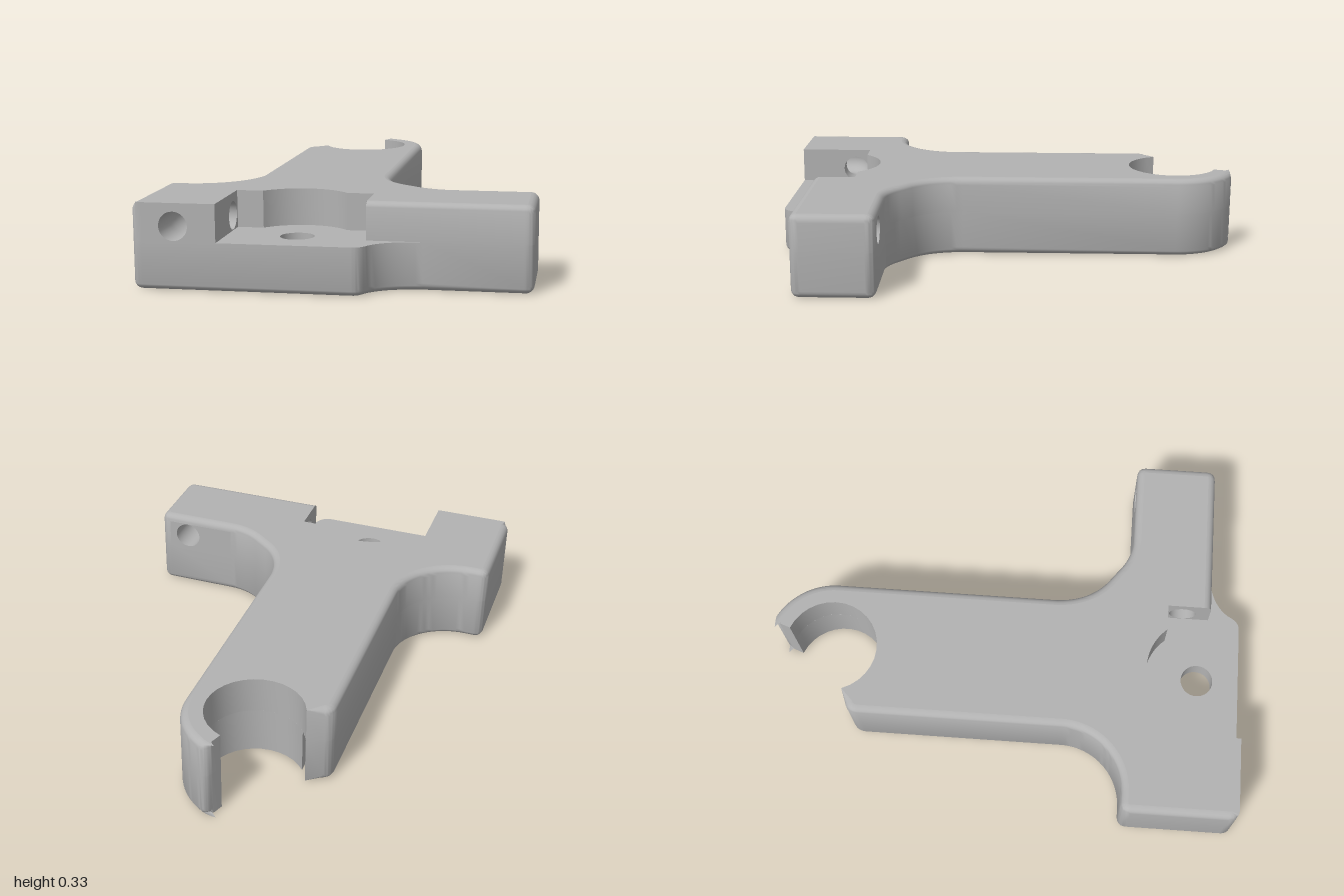
import * as THREE from 'three';
import { toCreasedNormals } from 'three/addons/utils/BufferGeometryUtils.js';

const H = 0.33, FLOOR = 0.185, R = 0.03;      // height, pocket floor, edge rounding
const RING = [-0.28, -0.838], BORE = [-0.28, 0.651];
const HOLE_Y = 0.243, HOLE_R = 0.055;
const deg = THREE.MathUtils.degToRad;

const grey = new THREE.MeshStandardMaterial({ color: 0xb2b2b2, side: THREE.DoubleSide });
grey.name = 'grey';

// edge rounding at an outline point: none in the clip, the slot and the top front edge
function rounding(p, top) {
  if (Math.hypot(p.x - RING[0], p.y - RING[1]) < 0.235) return 0;
  if (p.x > -0.46 && p.x < -0.41 && p.y > -0.8 && p.y < -0.3) return 0;
  return top && p.y > 0.815 ? 0 : R;
}

function clean(points) {
  return points.filter((p, i) => i === 0 || p.distanceTo(points[i - 1]) > 1e-4);
}

// move outline points inwards by amount(point)
function inset(points, amount, closed) {
  const n = points.length;
  const normal = (a, b) => new THREE.Vector2(b.y - a.y, a.x - b.x).normalize();
  return points.map((p, i) => {
    const before = closed || i > 0 ? normal(points[(i + n - 1) % n], p) : null;
    const after = closed || i < n - 1 ? normal(p, points[(i + 1) % n]) : null;
    const n1 = before || after, n2 = after || before;
    const m = n1.clone().add(n2);
    const k = amount(p) / Math.max(0.5, 1 + n1.dot(n2));
    return p.clone().addScaledVector(m, -k);
  });
}

// upright wall along an outline, optionally rounded at its top or bottom edge
function wall(points, y0, y1, { closed = false, edge = '', skip = () => false } = {}) {
  const top = edge === 'top', rows = [];
  const flat = (y) => points.map((p) => [p.x, y, p.y]);
  rows.push(flat(top ? y0 : y1));
  if (!edge) rows.push(flat(y0));
  else for (let k = 0; k <= 5; k++) {
    const a = (k / 5) * Math.PI / 2;
    const ring = inset(points, (p) => rounding(p, top) * (1 - Math.cos(a)), closed);
    rows.push(ring.map((q, i) => {
      const rise = rounding(points[i], top) * (1 - Math.sin(a));
      return [q.x, top ? y1 - rise : y0 + rise, q.y];
    }));
  }
  if (!top) rows.reverse();
  const pos = [], n = points.length;
  for (let i = 0; i < (closed ? n : n - 1); i++) {
    const j = (i + 1) % n;
    for (let k = 0; k < rows.length - 1; k++) {
      if (k === 0 && skip(points[i], points[j])) continue;
      const a0 = rows[k][i], a1 = rows[k + 1][i], b0 = rows[k][j], b1 = rows[k + 1][j];
      pos.push(...a0, ...a1, ...b1, ...a0, ...b1, ...b0);
    }
  }
  const g = new THREE.BufferGeometry();
  g.setAttribute('position', new THREE.Float32BufferAttribute(pos, 3));
  return toCreasedNormals(g, 0.6);
}

// level face with optional holes
function cap(points, y, up, holes = []) {
  const flip = (list) => list.map((p) => new THREE.Vector2(p.x, -p.y));
  const shape = new THREE.Shape(flip(points));
  holes.forEach((h) => shape.holes.push(new THREE.Path(flip(h))));
  const g = new THREE.ShapeGeometry(shape).rotateX(-Math.PI / 2).translate(0, y, 0);
  if (!up) {
    const ix = g.index;
    for (let i = 0; i < ix.count; i += 3) {
      const a = ix.getX(i);
      ix.setX(i, ix.getX(i + 1));
      ix.setX(i + 1, a);
    }
    g.computeVertexNormals();
  }
  return g;
}

// flat wall from a to b with a round port; roundA softens the top corner at a
function portPlate(a, b, top, port, roundA = 0) {
  const dx = a[0] - b[0], dz = a[1] - b[1], w = Math.hypot(dx, dz);
  const s = new THREE.Shape();
  s.moveTo(0, FLOOR).lineTo(w, FLOOR).lineTo(w, top - roundA);
  if (roundA) s.quadraticCurveTo(w, top, w - roundA, top);
  s.lineTo(0, top);
  const at = Math.hypot(port[0] - b[0], port[1] - b[1]);
  s.holes.push(new THREE.Path().absarc(at, HOLE_Y, HOLE_R, 0, Math.PI * 2, true));
  return new THREE.ShapeGeometry(s, 16).rotateY(Math.atan2(-dz, dx)).translate(b[0], 0, b[1]);
}

// bent passage between two ports
function passage(from, corner, to, bend) {
  const v = (p) => new THREE.Vector3(p[0], HOLE_Y, p[1]);
  const c = v(corner), start = v(from), end = v(to);
  const p1 = c.clone().add(start.clone().sub(c).setLength(bend));
  const p2 = c.clone().add(end.clone().sub(c).setLength(bend));
  const path = new THREE.CurvePath();
  path.add(new THREE.LineCurve3(start, p1));
  path.add(new THREE.QuadraticBezierCurve3(p1, c, p2));
  path.add(new THREE.LineCurve3(p2, end));
  return new THREE.TubeGeometry(path, 40, HOLE_R, 32);
}

// shared outline: left block, stem, open clip, then back to the right arm
function outline(withSlot) {
  const [cx, cy] = RING, p = new THREE.Path();
  p.moveTo(-0.548, 0.82).lineTo(-0.83, 0.82).quadraticCurveTo(-0.87, 0.82, -0.87, 0.78);
  p.lineTo(-0.87, 0.4).quadraticCurveTo(-0.87, 0.36, -0.83, 0.36);
  p.lineTo(-0.796, 0.36).absarc(-0.796, 0.112, 0.248, Math.PI / 2, 0, true);
  p.lineTo(-0.548, -0.7).quadraticCurveTo(-0.548, -0.742, -0.512, -0.754);
  if (withSlot) {
    p.absarc(cx, cy, 0.186, deg(160), deg(156), true);
    p.lineTo(-0.45, -0.33).absarc(-0.437, -0.33, 0.013, Math.PI, 0, true);
    p.absarc(cx, cy, 0.186, deg(141), deg(-70), true);
  } else p.absarc(cx, cy, 0.186, deg(160), deg(-70), true);
  p.lineTo(cx + 0.079, cy - 0.217).quadraticCurveTo(cx + 0.092, cy - 0.252, cx + 0.122, cy - 0.239);
  p.absarc(cx, cy, 0.268, deg(-63), 0, false);
  p.lineTo(-0.012, 0.06).quadraticCurveTo(-0.005, 0.19, 0.08, 0.262);
  p.lineTo(0.13, 0.3).quadraticCurveTo(0.2, 0.36, 0.28, 0.36);
  p.lineTo(0.57, 0.36).quadraticCurveTo(0.61, 0.36, 0.61, 0.4);
  p.lineTo(0.61, 0.65).quadraticCurveTo(0.61, 0.69, 0.57, 0.69);
  return p;
}

function polygon(sides, r) {
  return Array.from({ length: sides }, (_, i) => {
    const a = -(i / sides) * Math.PI * 2;
    return new THREE.Vector2(BORE[0] + r * Math.cos(a), BORE[1] + r * Math.sin(a));
  });
}

export function createModel() {
  const body = new THREE.Group();
  body.name = 'bracket';
  const add = (name, geometry) => {
    const m = new THREE.Mesh(geometry, grey);
    m.name = name;
    body.add(m);
  };

  // lower layer with the front lobe and the clip slot
  const lobe = new THREE.Path();
  lobe.moveTo(0.2, 0.69).quadraticCurveTo(0.06, 0.7, 0.01, 0.775);
  lobe.quadraticCurveTo(-0.01, 0.82, -0.045, 0.82);
  const lobePts = clean(lobe.getPoints(10));
  const lower = clean([...outline(true).getPoints(10), ...lobePts]);
  const hex = polygon(6, 0.13), bore = polygon(32, 0.065);
  add('lowerWall', wall(lower, 0, FLOOR, { closed: true, edge: 'bottom' }));
  add('underside', cap(inset(lower, (p) => rounding(p, false), true), 0, false, [hex]));
  add('slotCeiling', cap([[-0.45, -0.76], [-0.45, -0.317], [-0.424, -0.317], [-0.424, -0.72]]
    .map((q) => new THREE.Vector2(...q)), FLOOR, false));

  // nut recess and bolt hole
  add('nutRecessWall', wall(hex, 0, 0.1, { closed: true }));
  add('nutRecessCeiling', cap(hex, 0.1, false, [bore]));
  add('boltHole', wall(bore, 0.1, FLOOR, { closed: true }));

  // pocket with its round back
  const pocket = new THREE.Path();
  pocket.moveTo(-0.012, 0.513).lineTo(-0.115, 0.513);
  pocket.absarc(BORE[0], BORE[1], 0.215, deg(-39.9), deg(-140.1), true);
  pocket.lineTo(-0.548, 0.513);
  const pocketPts = clean(pocket.getPoints(14));
  add('pocketBackWall', wall(pocketPts, FLOOR, H));
  add('pocketFloor', cap([...pocketPts, new THREE.Vector2(-0.548, 0.82),
    ...lobePts.slice().reverse(), new THREE.Vector2(-0.012, 0.69)], FLOOR, true, [bore]));

  // upper layer
  const upper = clean(outline(false).lineTo(-0.012, 0.69).getPoints(10));
  const holed = (a, b) => (a.y > 0.815 && b.y > 0.815 && a.x - b.x > 0.2)
    || (a.x > 0.2 && b.x - a.x > 0.2 && Math.abs(b.y - 0.36) < 0.01);
  add('upperWall', wall(upper, FLOOR, H, { edge: 'top', skip: holed }));
  add('topFace', cap([...inset(upper, (p) => rounding(p, true), false), ...pocketPts], H, true));

  // walls with ports and the passages joining them
  const ports = { front: [-0.709, 0.82], left: [-0.548, 0.578], right: [-0.012, 0.578], back: [0.485, 0.36] };
  add('frontPortWall', portPlate([-0.548, 0.82], [-0.83, 0.82], H, ports.front));
  add('pocketLeftWall', portPlate([-0.548, 0.513], [-0.548, 0.82], H, ports.left));
  add('pocketRightWall', portPlate([-0.012, 0.69], [-0.012, 0.513], H, ports.right, R));
  add('backPortWall', portPlate([0.28, 0.36], [0.57, 0.36], H - R, ports.back));
  add('leftPassage', passage(ports.front, [-0.709, 0.578], ports.left, 0.1));
  add('rightPassage', passage(ports.right, [0.485, 0.578], ports.back, 0.1));

  // turn the bracket and centre it
  body.rotation.y = 0.245;
  const model = new THREE.Group();
  model.name = 'clipBracket';
  model.add(body);
  model.updateMatrixWorld(true);
  const c = new THREE.Box3().setFromObject(model, true).getCenter(new THREE.Vector3());
  body.position.set(-c.x, 0, -c.z);
  return model;
}
